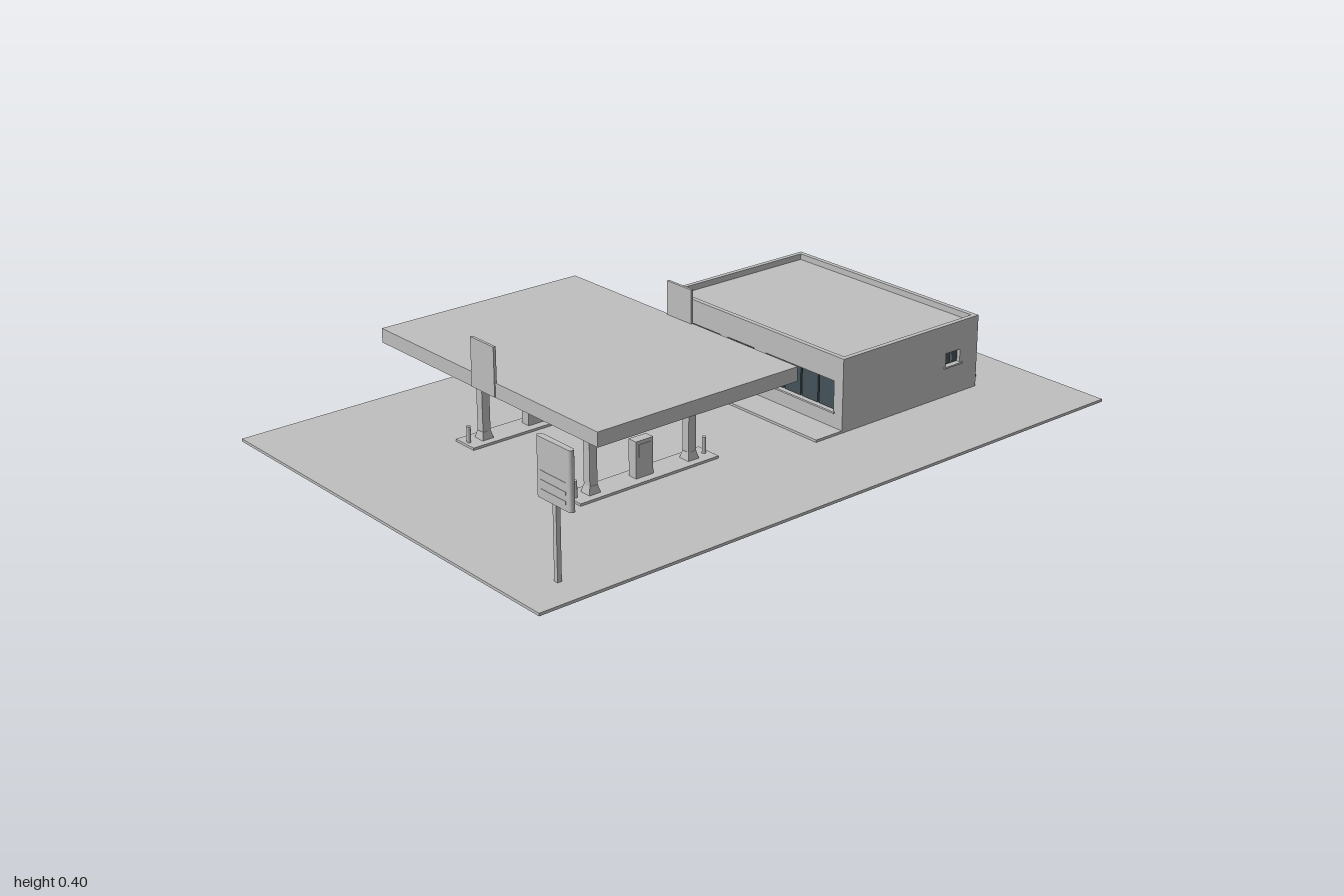
import * as THREE from 'three';

export function createModel() {
  const root = new THREE.Group();
  root.name = 'fillingStation';
  const concrete = new THREE.MeshStandardMaterial({ color: 0xbfbfbf });
  concrete.name = 'light grey';
  const glass = new THREE.MeshStandardMaterial({ color: 0x46535a });
  glass.name = 'dark glass';

  const add = (parent, name, geo, mat = concrete) => {
    const m = new THREE.Mesh(geo, mat);
    m.name = name;
    parent.add(m);
    return m;
  };
  // Box from its limits on each axis
  const box = (parent, name, x0, x1, y0, y1, z0, z1, mat) => {
    const m = add(parent, name, new THREE.BoxGeometry(x1 - x0, y1 - y0, z1 - z0), mat);
    m.position.set((x0 + x1) / 2, (y0 + y1) / 2, (z0 + z1) / 2);
    return m;
  };
  const group = (name) => {
    const g = new THREE.Group();
    g.name = name;
    root.add(g);
    return g;
  };
  const trace = (path, [u0, u1, v0, v1]) => {
    path.moveTo(u0, v0);
    path.lineTo(u1, v0);
    path.lineTo(u1, v1);
    path.lineTo(u0, v1);
    path.closePath();
    return path;
  };

  // Ground, walkway and back step
  box(root, 'ground', -0.667, 0.667, 0, 0.008, -1, 1);
  box(root, 'walkway', -0.435, 0.365, 0.008, 0.015, -0.8, -0.17);
  box(root, 'backStep', 0.225, 0.317, 0.008, 0.015, -0.855, -0.8);

  // Shop: inner core with flat roof, wrapped by walls that rise to a parapet
  const shop = group('shop');
  const T = 0.015;
  const wall = (name, outline, holes, angle, x, z) => {
    const s = trace(new THREE.Shape(), outline);
    s.holes = holes.map((h) => trace(new THREE.Path(), h));
    const m = add(shop, name, new THREE.ExtrudeGeometry(s, { depth: T, bevelEnabled: false }));
    m.rotation.y = angle;
    m.position.set(x, 0, z);
  };
  box(shop, 'roofAndCore', -0.355, 0.35, 0.008, 0.207, -0.785, -0.282);
  const leftWin = [-0.332, -0.138, 0.062, 0.152];
  const rightWin = [0.053, 0.33, 0.062, 0.152];
  const doorway = [-0.107, 0.007, 0.016, 0.153];
  wall('frontWall', [-0.37, 0.365, 0.008, 0.225], [leftWin, rightWin, doorway], 0, 0, -0.282);
  wall('backWall', [-0.365, 0.37, 0.008, 0.225], [[-0.305, -0.235, 0.016, 0.15]], Math.PI, 0, -0.785);
  wall('rightWall', [0.282, 0.785, 0.008, 0.225], [[0.672, 0.729, 0.1, 0.139]], Math.PI / 2, 0.35, 0);
  wall('leftWall', [-0.785, -0.282, 0.008, 0.225], [[-0.75, -0.675, 0.016, 0.155]], -Math.PI / 2, -0.355, 0);

  // Shop windows: rows of panes with a sill
  for (const [[u0, u1, v0, v1], n] of [[leftWin, 3], [rightWin, 4]]) {
    const w = (u1 - u0) / n;
    for (let i = 0; i < n; i++) {
      box(shop, 'windowPane', u0 + i * w + 0.003, u0 + (i + 1) * w - 0.003, v0 + 0.002, v1 - 0.002, -0.282, -0.276, glass);
    }
    box(shop, 'windowSill', u0 - 0.005, u1 + 0.005, 0.057, 0.062, -0.275, -0.263);
  }
  box(shop, 'sideWindowPane', 0.35, 0.356, 0.102, 0.137, -0.727, -0.674, glass);
  box(shop, 'sideWindowMullion', 0.35, 0.358, 0.102, 0.137, -0.702, -0.699);
  box(shop, 'sideWindowSill', 0.36, 0.37, 0.095, 0.1, -0.737, -0.664);

  // Double entrance doors, each with an upper and a lower pane
  for (const x of [-0.0785, -0.0215]) {
    box(shop, 'entranceDoor', x - 0.027, x + 0.027, 0.018, 0.152, -0.282, -0.277);
    for (const [y0, y1] of [[0.03, 0.062], [0.069, 0.148]]) {
      box(shop, 'doorPane', x - 0.023, x + 0.023, y0, y1, -0.278, -0.275, glass);
    }
  }
  box(shop, 'entranceStep', -0.107, 0.007, 0.015, 0.018, -0.275, -0.25);

  // Canopy with sign panels at both ends and flat lamps underneath
  const canopy = group('canopy');
  box(canopy, 'canopyRoof', -0.467, 0.467, 0.263, 0.304, 0.001, 0.663);
  box(canopy, 'frontSignPanel', -0.05, 0.05, 0.264, 0.402, 0.658, 0.666);
  box(canopy, 'backSignPanel', -0.05, 0.05, 0.264, 0.402, -0.001, 0.007);
  for (const x of [-0.35, -0.118, 0.118, 0.3]) {
    for (const z of [0.155, 0.485]) {
      box(canopy, 'canopyLamp', x - 0.036, x + 0.036, 0.259, 0.263, z - 0.02, z + 0.02);
    }
  }

  // Pump islands: columns on flared feet, a pump between them, bollards at the ends
  for (const x of [-0.234, 0.231]) {
    const island = group('pumpIsland');
    box(island, 'islandKerb', x - 0.041, x + 0.041, 0.008, 0.015, 0.1, 0.567);
    for (const z of [0.168, 0.502]) {
      box(island, 'column', x - 0.0125, x + 0.0125, 0.015, 0.263, z - 0.0125, z + 0.0125);
      const foot = add(island, 'columnFoot', new THREE.CylinderGeometry(0.0185, 0.026, 0.022, 4, 1).toNonIndexed());
      foot.geometry.computeVertexNormals();
      foot.rotation.y = Math.PI / 4;
      foot.position.set(x, 0.026, z);
    }
    box(island, 'pump', x - 0.015, x + 0.015, 0.015, 0.12, 0.305, 0.363);
    for (const s of [-1, 1]) {
      const face = box(island, 'pumpPanel', -0.002, 0.002, 0.075, 0.11, 0.314, 0.354);
      face.position.x = x + s * 0.0155;
    }
    for (const z of [0.116, 0.553]) {
      const post = add(island, 'bollard', new THREE.CylinderGeometry(0.006, 0.006, 0.047, 12));
      post.position.set(x, 0.0385, z);
    }
  }

  // Roadside sign: rounded board on a post, with plain raised strips
  const sign = group('roadsideSign');
  const cz = 0.867;
  box(sign, 'signPost', 0.56, 0.573, 0.008, 0.212, cz - 0.0065, cz + 0.0065);
  const r = 0.0085;
  const plan = new THREE.Shape();
  plan.absarc(0.0665 - r, 0, r, -Math.PI / 2, Math.PI / 2, false);
  plan.absarc(-0.0665 + r, 0, r, Math.PI / 2, Math.PI * 1.5, false);
  plan.closePath();
  const board = add(sign, 'signBoard', new THREE.ExtrudeGeometry(plan, { depth: 0.158, bevelEnabled: false, curveSegments: 8 }));
  board.rotation.x = -Math.PI / 2;
  board.position.set(0.5665, 0.211, cz);
  for (const y of [0.228, 0.252, 0.276]) {
    for (const s of [-1, 1]) {
      const strip = box(sign, 'signStrip', 0.518, 0.615, y, y + 0.008, -0.001, 0.001);
      strip.position.z = cz + s * r;
    }
  }
  return root;
}
